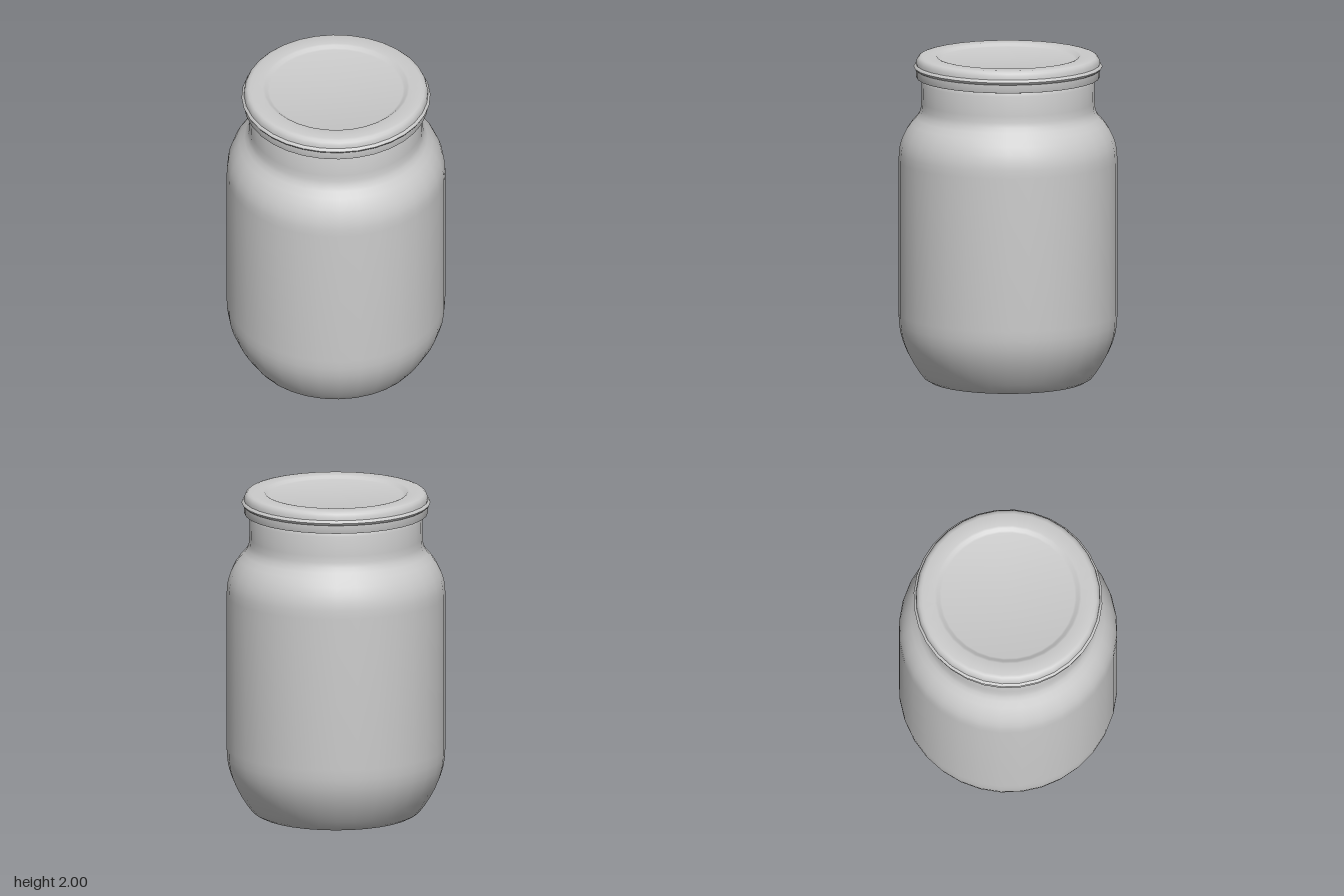
import * as THREE from 'three';
import { toCreasedNormals } from 'three/addons/utils/BufferGeometryUtils.js';

const SEGMENTS = 32;

// Revolve a [radius, height] profile around the y axis, keeping sharp edges
function revolve(name, profile, material) {
  const points = profile.map(([r, y]) => new THREE.Vector2(r, y));
  const geometry = toCreasedNormals(new THREE.LatheGeometry(points, SEGMENTS), 0.8);
  const mesh = new THREE.Mesh(geometry, material);
  mesh.name = name;
  return mesh;
}

export function createModel() {
  const group = new THREE.Group();
  group.name = 'jarWithLid';
  const material = new THREE.MeshStandardMaterial({ color: 0xcccccc });

  // Jar: flat base, rounded heel, straight wall, shoulder, neck and lip
  group.add(revolve('jarBody', [
    [0, 0.01], [0.36, 0.01], [0.43, 0], [0.475, 0.005], [0.51, 0.025], [0.545, 0.07],
    [0.58, 0.125], [0.61, 0.18], [0.635, 0.24], [0.652, 0.3], [0.66, 0.36], [0.662, 0.42],
    [0.662, 1.36], [0.66, 1.41], [0.653, 1.455], [0.638, 1.5], [0.616, 1.545],
    [0.586, 1.588], [0.555, 1.622], [0.536, 1.65], [0.528, 1.68], [0.525, 1.72],
    [0.522, 1.84], [0.515, 1.865], [0.505, 1.88], [0.505, 1.93], [0.495, 1.945], [0, 1.945],
  ], material));

  // Lid: hollow underside, skirt, thin bead, rounded rim and sunken centre panel
  group.add(revolve('lid', [
    [0, 1.94], [0.535, 1.94], [0.535, 1.872], [0.545, 1.866], [0.555, 1.868], [0.558, 1.875],
    [0.558, 1.918], [0.567, 1.924], [0.572, 1.934], [0.567, 1.944], [0.558, 1.95],
    [0.556, 1.968], [0.549, 1.985], [0.537, 1.996], [0.52, 2],
    [0.445, 2], [0.432, 1.997], [0.417, 1.983], [0.405, 1.98], [0, 1.98],
  ], material));

  return group;
}
